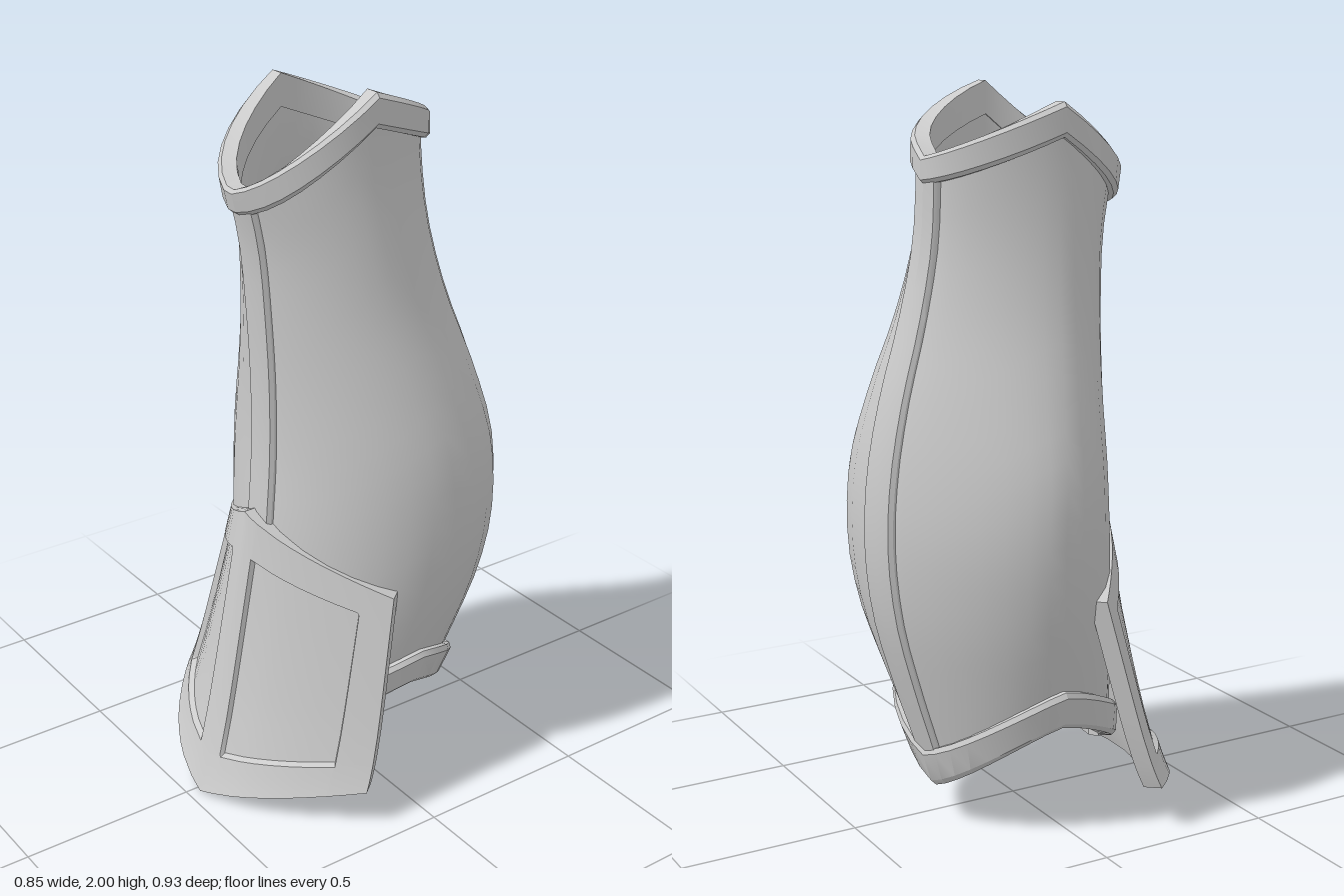
import * as THREE from 'three';
import { toCreasedNormals } from 'three/addons/utils/BufferGeometryUtils.js';

const { lerp, clamp } = THREE.MathUtils;
const HALF = Math.PI / 2;
const range = (a, b, n) => Array.from({ length: n + 1 }, (_, i) => lerp(a, b, i / n));

// Limb sections by height: left-hand x, right-hand x, front z, back z, centre z
const heights = [0, 0.2, 0.4, 0.6, 0.8, 1, 1.2, 1.4, 1.6, 1.8, 2];
const extents = new THREE.CubicInterpolant(heights, [
  -0.23, 0.21, 0.3, -0.24, -0.02,
  -0.28, 0.25, 0.295, -0.3, -0.04,
  -0.33, 0.305, 0.28, -0.365, -0.06,
  -0.375, 0.35, 0.262, -0.42, -0.09,
  -0.4, 0.37, 0.25, -0.443, -0.11,
  -0.393, 0.362, 0.235, -0.433, -0.1,
  -0.34, 0.318, 0.233, -0.395, -0.07,
  -0.28, 0.268, 0.243, -0.34, -0.03,
  -0.238, 0.235, 0.262, -0.3, 0,
  -0.217, 0.212, 0.304, -0.29, 0.02,
  -0.215, 0.212, 0.305, -0.285, 0.02,
], 5);
const FRONT_X = 0.027, BACK_X = -0.075;

// Point on the limb surface, pushed out by d
function limb(t, y, d) {
  const [l, r, f, b, mid] = extents.evaluate(clamp(y, 0, 2));
  const c = Math.cos(t), s = Math.sin(t), a = Math.abs(s);
  const right = c > 0, front = s > 0;
  const tipX = front ? FRONT_X : BACK_X;
  // The swelling is lopsided: flat at the back left, full at the back right
  const swell = clamp((r - l - 0.43) / 0.33, 0, 1);
  const cz = mid + (right ? -0.04 : 0.04) * swell;
  const point = front ? (right ? 0.17 : 0.1)
    : right ? lerp(0.06, -0.28, swell) : lerp(0.15, 0.4, swell);
  const reach = lerp(a, 1 - Math.abs(c), point);
  return [
    right ? lerp(tipX, r + d, c) : lerp(tipX, l - d, -c),
    y,
    lerp(cz, front ? f + d : b - d, reach),
  ];
}

// Pointed rim lines: high at the sides, dipping to a V at front and back
function topY(t) {
  const s = Math.sin(t), c = Math.cos(t);
  const side = c > 0 ? 2 : lerp(1.985, 1.96, -c);
  return side - (s > 0 ? 0.185 : 0.1) * Math.abs(s) - 0.06 * (1 - Math.abs(c));
}
function bottomY(t) {
  const a = Math.abs(Math.sin(t));
  return 0.31 - 0.135 * a ** 1.4 - 0.065 * (1 - Math.abs(Math.cos(t)));
}

// Closed shell from a rule fn(u, v, k): k = 0 inner skin, k = 1 outer skin
function slab(name, us, vs, fn, loop = false) {
  const pos = [], idx = [], nu = us.length, nv = vs.length;
  for (const k of [0, 1]) for (const u of us) for (const v of vs) pos.push(...fn(u, v, k));
  const id = (k, i, j) => (k * nu + i) * nv + j;
  const quad = (a, b, c, d) => idx.push(a, b, c, a, c, d);
  const wall = (i, j, m, n) => quad(id(1, m, n), id(1, i, j), id(0, i, j), id(0, m, n));
  for (let i = 0; i < nu - 1; i++) {
    for (let j = 0; j < nv - 1; j++) {
      quad(id(1, i, j), id(1, i, j + 1), id(1, i + 1, j + 1), id(1, i + 1, j));
      quad(id(0, i, j), id(0, i + 1, j), id(0, i + 1, j + 1), id(0, i, j + 1));
    }
    wall(i, nv - 1, i + 1, nv - 1);
    wall(i + 1, 0, i, 0);
  }
  if (!loop) for (let j = 0; j < nv - 1; j++) {
    wall(0, j, 0, j + 1);
    wall(nu - 1, j + 1, nu - 1, j);
  }
  const geo = new THREE.BufferGeometry();
  geo.setAttribute('position', new THREE.Float32BufferAttribute(pos, 3));
  geo.setIndex(idx);
  const mesh = new THREE.Mesh(toCreasedNormals(geo, 0.5),
    new THREE.MeshStandardMaterial({ color: 0xcccccc }));
  mesh.name = name;
  return mesh;
}

// Flared front plate: u runs across, v runs down
function platePoint(u, v, k) {
  const a = Math.abs(u), side = u > 0;
  const x = 0.018 + lerp(side ? 0.335 : -0.39, side ? 0.402 : -0.443, v) * a;
  const top = lerp(0.845, side ? 0.645 : 0.66, a);
  const bottom = lerp(0, side ? 0.108 : 0.12, a ** 0.85);
  const topZ = lerp(0.295, side ? 0.04 : 0.075, a ** 1.45);
  const bottomZ = lerp(0.465, side ? 0.175 : 0.225, a ** 1.85);
  const z = lerp(topZ, bottomZ, 0.88 * v + 0.12 * v ** 7);
  const inPanel = a > 0.12 && a < 0.825 && v > 0.135 && v < 0.86;
  const depth = k ? (inPanel ? 0.016 : 0) : 0.045;
  return [x - u * 0.7 * depth, lerp(top, bottom, v), z - 0.85 * depth];
}

export function createModel() {
  const group = new THREE.Group();
  group.name = 'limbGuard';
  const around = range(0, Math.PI * 2, 32);

  // Main tube
  group.add(slab('shell', around, range(0, 1, 22), (t, v, k) =>
    limb(t, lerp(bottomY(t) + 0.02, topY(t) - 0.02, v), k ? 0 : -0.02), true));

  // Raised flat rims with bevelled edges
  const rim = (name, low, high) => slab(name, around, [0, 0.14, 0.86, 1], (t, v, k) => {
    const d = k ? (v === 0 || v === 1 ? 0.014 : 0.025) : -0.026;
    return limb(t, lerp(low(t), high(t), v), d);
  }, true);
  group.add(rim('topRim', t => topY(t) - 0.07 - 0.02 * Math.abs(Math.cos(t)), topY));
  group.add(rim('bottomRim', bottomY, t => bottomY(t) + 0.11));

  // Ridge bands along the front and back
  const band = (name, base, width, yLow, yHigh) =>
    slab(name, [-1, -0.85, 0, 0.85, 1], range(0, 1, 22), (u, v, k) => {
      const y = lerp(yLow, yHigh, v);
      const [l, r] = extents.evaluate(y);
      const t = base + u * width / ((r - l) / 2);
      return limb(t, y, k ? (Math.abs(u) === 1 ? 0.006 : 0.016) : -0.015);
    });
  group.add(band('frontBand', HALF, 0.047, 0.13, 1.72));
  group.add(band('backBand', -HALF, 0.05, 0.14, 1.79));

  // Front plate with two sunken panels
  const halfU = [0.115, 0.125, ...range(0.28, 0.7, 4), 0.82, 0.83, 0.92, 1];
  const us = [...halfU.map(u => -u).reverse(), -0.05, 0, 0.05, ...halfU];
  const vs = [0, 0.06, 0.13, 0.14, ...range(0.28, 0.72, 4), 0.855, 0.865, 0.91, 0.95, 0.98, 1];
  group.add(slab('frontPlate', us, vs, platePoint));

  return group;
}
